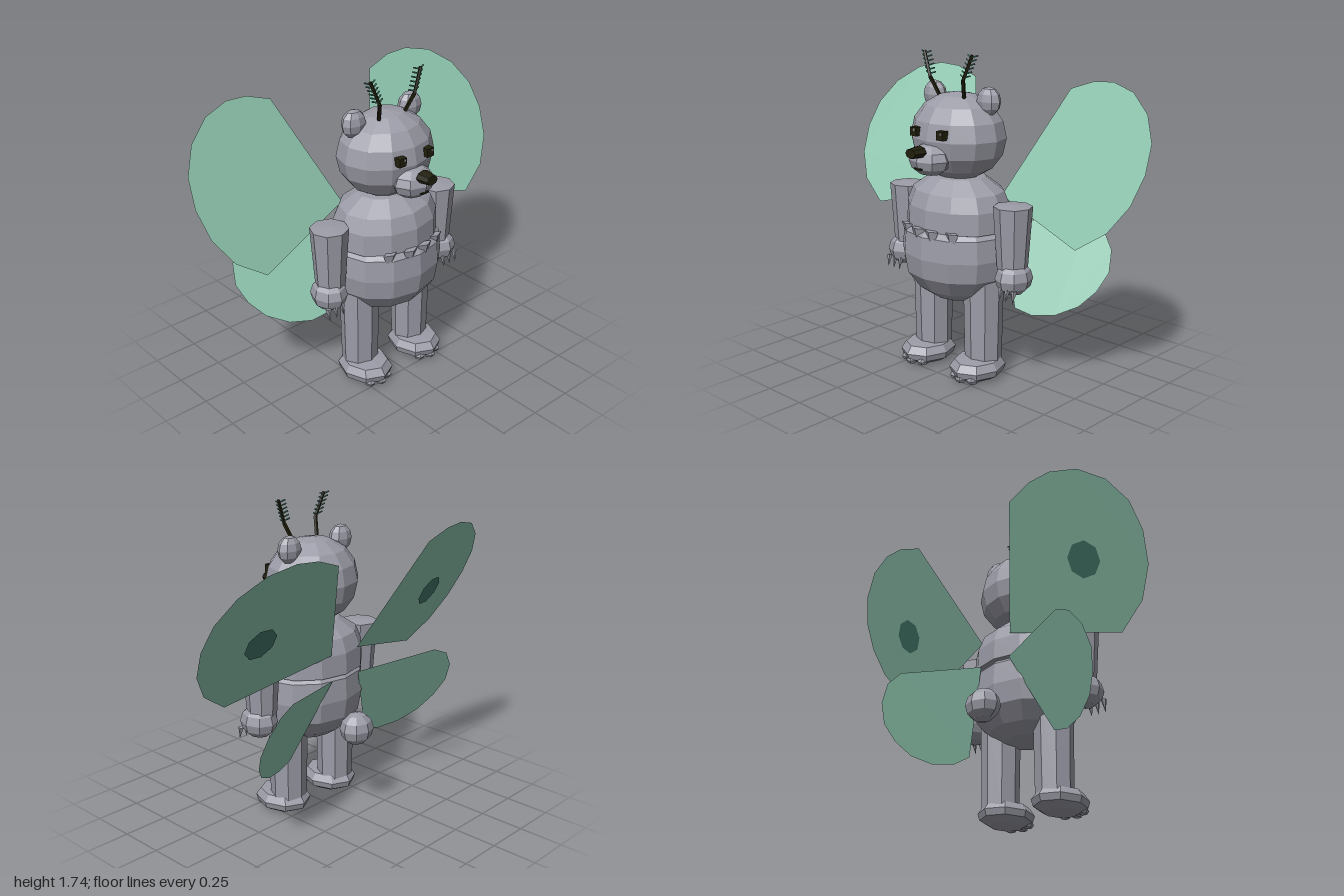
import * as THREE from 'three';

const mat = (name, color, side = THREE.FrontSide) =>
  new THREE.MeshStandardMaterial({ name, color, side, flatShading: true });

export function createModel() {
  const fur = mat('grey fur', 0x9b9ca7);
  const dark = mat('dark brown', 0x211f0c);
  const glint = mat('eye glint', 0x8d8d86);
  const wingGreen = mat('pale green wing', 0x90c8b1, THREE.DoubleSide);
  const spotGreen = mat('deep green spot', 0x467c6d, THREE.DoubleSide);
  const model = new THREE.Group();
  model.name = 'wingedBear';

  const add = (name, geometry, material, x = 0, y = 0, z = 0) => {
    const m = new THREE.Mesh(geometry, material);
    m.name = name;
    m.position.set(x, y, z);
    model.add(m);
    return m;
  };
  const ball = (name, material, pos, radii, w = 8, h = 6) =>
    add(name, new THREE.SphereGeometry(1, w, h).scale(...radii), material, ...pos);
  // profile is a list of [radius, height], from bottom to top
  const lathe = (name, profile, sides, depth, x, z) => {
    const pts = profile.map(([r, y]) => new THREE.Vector2(r, y));
    return add(name, new THREE.LatheGeometry(pts, sides).scale(1, 1, depth), fur, x, 0, z);
  };
  // thin rod between two points
  const rod = (name, a, b, r, material) => {
    const p = new THREE.Vector3(...a), q = new THREE.Vector3(...b);
    const d = q.clone().sub(p);
    const m = add(name, new THREE.CylinderGeometry(r, r, d.length(), 5), material);
    m.position.copy(p).add(q).multiplyScalar(0.5);
    m.quaternion.setFromUnitVectors(new THREE.Vector3(0, 1, 0), d.normalize());
  };
  // flat outline tilted onto the plane z = a + b|x| + cy
  const tilted = (name, outline, [a, b, c], s, material) => {
    const shape = new THREE.Shape(outline.map(([x, y]) => new THREE.Vector2(s * x, y)));
    const g = new THREE.ShapeGeometry(shape);
    const p = g.attributes.position;
    for (let i = 0; i < p.count; i++) p.setZ(i, a + b * Math.abs(p.getX(i)) + c * p.getY(i));
    g.computeVertexNormals();
    add(name, g, material);
  };

  // Torso: round belly under a ruffed chest
  lathe('belly', [[0, 0.405], [0.14, 0.43], [0.225, 0.48], [0.3, 0.57], [0.32, 0.68],
    [0.31, 0.8], [0.25, 0.86], [0, 0.88]], 12, 0.845, 0, 0.095);
  lathe('chest', [[0.22, 0.8], [0.305, 0.825], [0.3, 0.94], [0.265, 1.02], [0.16, 1.09],
    [0, 1.11]], 12, 0.83, 0, 0.08);
  for (const [x, z] of [[-0.16, 0.3], [-0.05, 0.335], [0.05, 0.335], [0.16, 0.3]]) {
    const tuft = add('chestTuft', new THREE.ConeGeometry(0.05, 0.1, 4), fur, x, 0.79, z);
    tuft.rotation.x = Math.PI;
    tuft.scale.z = 0.5;
  }
  ball('tail', fur, [0, 0.535, -0.25], [0.1, 0.09, 0.085]);

  // Head
  ball('head', fur, [0, 1.302, 0.08], [0.272, 0.235, 0.236], 12, 8);
  ball('muzzle', fur, [0, 1.205, 0.29], [0.122, 0.085, 0.1]);
  const nose = add('nose', new THREE.CylinderGeometry(0.036, 0.046, 0.07, 8), dark, 0, 1.255, 0.395);
  nose.rotation.x = Math.PI / 2;
  nose.scale.z = 0.72;
  add('mouth', new THREE.BoxGeometry(0.05, 0.009, 0.02), dark, 0, 1.168, 0.372);

  // Wing outlines, starting at the root
  const upperWing = [[0.1, 0.95], [0.345, 1.53], [0.49, 1.58], [0.62, 1.59], [0.77, 1.555],
    [0.9, 1.465], [0.98, 1.34], [1.0, 1.2], [0.97, 1.05], [0.88, 0.91], [0.72, 0.8]];
  const lowerWing = [[0.1, 0.81], [0.56, 0.86], [0.655, 0.82], [0.72, 0.73], [0.738, 0.62],
    [0.7, 0.52], [0.63, 0.435], [0.52, 0.375], [0.4, 0.357], [0.3, 0.38]];
  const spot = Array.from({ length: 8 }, (_, i) => {
    const t = (i + 0.5) * Math.PI / 4;
    return [0.65 + 0.09 * Math.cos(t), 1.16 + 0.087 * Math.sin(t)];
  });

  for (const s of [-1, 1]) {
    // Face and ears
    add('eye', new THREE.BoxGeometry(0.046, 0.046, 0.06), dark, s * 0.095, 1.342, 0.288);
    add('eyeGlint', new THREE.BoxGeometry(0.012, 0.012, 0.006), glint, s * 0.095 + 0.01, 1.353, 0.318);
    ball('ear', fur, [s * 0.193, 1.5, 0.055], [0.073, 0.075, 0.052]);

    // Bent antenna with a comb of bristles
    const joint = [s * 0.118, 1.61, 0.168], tip = [s * 0.17, 1.74, 0.155];
    rod('antennaBase', [s * 0.085, 1.5, 0.125], joint, 0.011, dark);
    rod('antennaTip', joint, tip, 0.009, dark);
    for (let i = 0; i < 6; i++) {
      const t = 0.1 + i * 0.16;
      const c = joint.map((v, k) => v + (tip[k] - v) * t);
      for (const e of [-1, 1]) {
        rod('antennaBristle', c, [c[0] + e * 0.034, c[1] + 0.012, c[2] - 0.012], 0.0045, spotGreen);
      }
    }

    // Arm, paw and claws
    lathe('arm', [[0, 0.62], [0.078, 0.62], [0.09, 0.8], [0.103, 0.985], [0, 0.993]],
      8, 1, s * 0.385, 0.08);
    ball('paw', fur, [s * 0.402, 0.605, 0.087], [0.094, 0.09, 0.107]);
    for (const dx of [-0.045, 0, 0.045]) {
      const claw = add('claw', new THREE.ConeGeometry(0.016, 0.07, 5), fur, s * 0.42 + dx, 0.53, 0.165);
      claw.rotation.x = Math.PI - 0.2;
    }

    // Leg, foot and toes
    lathe('leg', [[0.102, 0.08], [0.112, 0.6], [0, 0.62]], 8, 0.95, s * 0.188, 0.085);
    lathe('foot', [[0, 0.008], [0.085, 0.012], [0.13, 0.04], [0.14, 0.075], [0.115, 0.115],
      [0, 0.125]], 8, 1.18, s * 0.188, 0.13);
    for (const dx of [-0.06, 0, 0.06]) {
      ball('toe', fur, [s * 0.188 + dx, 0.035, 0.255 - Math.abs(dx) * 0.4], [0.03, 0.026, 0.04], 6, 4);
    }

    // Wings, with a spot on the back of each upper one
    tilted('upperWing', upperWing, [0.326, 0.119, -0.521], s, wingGreen);
    tilted('wingSpot', spot, [0.32, 0.119, -0.521], s, spotGreen);
    tilted('lowerWing', lowerWing, [0.214, -0.31, -0.43], s, wingGreen);
  }
  return model;
}
